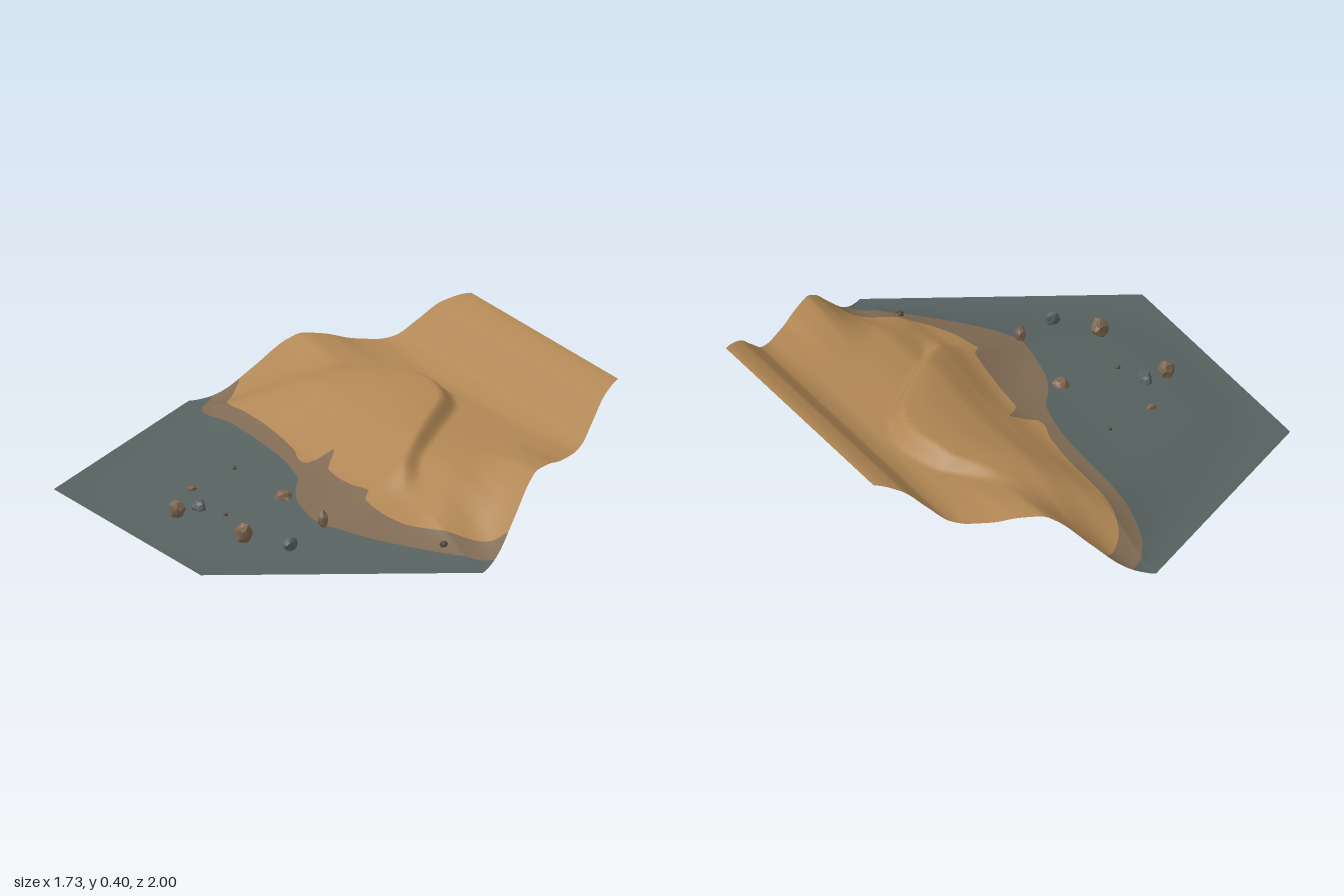
import * as THREE from 'three';

const mat = (name, color) => {
  const m = new THREE.MeshStandardMaterial({ color, side: THREE.DoubleSide });
  m.name = name;
  return m;
};

// Smooth curve through [position, value] pairs
function curve(pts) {
  const n = pts.length;
  const slope = (i) => {
    if (i === 0 || i === n - 1) return 0;
    const l = (pts[i][1] - pts[i - 1][1]) / (pts[i][0] - pts[i - 1][0]);
    const r = (pts[i + 1][1] - pts[i][1]) / (pts[i + 1][0] - pts[i][0]);
    return l * r <= 0 ? 0 : (2 * l * r) / (l + r);
  };
  const m = pts.map((_, i) => slope(i));
  return (v) => {
    if (v <= pts[0][0]) return pts[0][1];
    if (v >= pts[n - 1][0]) return pts[n - 1][1];
    let i = 0;
    while (v > pts[i + 1][0]) i++;
    const w = pts[i + 1][0] - pts[i][0];
    const t = (v - pts[i][0]) / w;
    const t2 = t * t, t3 = t2 * t;
    return (2 * t3 - 3 * t2 + 1) * pts[i][1] + (t3 - 2 * t2 + t) * w * m[i]
      + (3 * t2 - 2 * t3) * pts[i + 1][1] + (t3 - t2) * w * m[i + 1];
  };
}

// Height across the tile: along its slanted borders and through its middle
const borderHeight = curve([[0, 0], [0.05, 0.01], [0.1, 0.035], [0.2, 0.13], [0.3, 0.23],
  [0.35, 0.255], [0.42, 0.25], [0.5, 0.232], [0.58, 0.228], [0.63, 0.24], [0.7, 0.3], [0.78, 0.372], [0.866, 0.4]]);
const middleHeight = curve([[-0.866, 0], [-0.6, 0.028], [-0.4, 0.043], [-0.2, 0.062], [-0.05, 0.09],
  [0.08, 0.155], [0.2, 0.203], [0.35, 0.217], [0.55, 0.218], [0.63, 0.24], [0.7, 0.3], [0.78, 0.372], [0.866, 0.4]]);

// Dune crest position and strength along z
const crestX = curve([[-0.55, 0.28], [-0.4, 0.36], [-0.3, 0.43], [-0.12, 0.465], [0, 0.43], [0.2, 0.24], [0.38, 0.05], [0.5, 0]]);
const crestRise = curve([[-0.6, 0], [-0.4, 0.035], [-0.2, 0.062], [0.2, 0.05], [0.36, 0.055], [0.46, 0.022], [0.62, 0]]);

// Colour boundaries: x position along z
const slateEdge = curve([[-1, 0.09], [-0.96, 0.07], [-0.9, 0], [-0.8, -0.06], [-0.65, -0.09], [-0.4, -0.1],
  [-0.2, -0.115], [0, -0.16], [0.1, -0.23], [0.2, -0.275], [0.4, -0.31], [0.5, -0.275], [0.6, -0.22],
  [0.7, -0.15], [0.8, -0.07], [0.9, 0.02], [0.96, 0.08], [1, 0.1]]);
const sandEdge = curve([[-0.95, 0.25], [-0.91, 0.16], [-0.85, 0.08], [-0.78, 0.02], [-0.65, -0.02], [-0.4, -0.03],
  [-0.2, -0.055], [-0.1, -0.085], [-0.065, -0.075], [-0.055, 0], [-0.065 + 0.005 + 0.01, 0.02], [0, -0.025], [0.04, -0.055],
  [0.2, -0.07], [0.35, -0.08], [0.4, -0.12], [0.5, -0.115], [0.6, -0.09], [0.7, -0.03], [0.8, 0.05], [0.9, 0.16], [0.95, 0.3]]);

function height(x, z) {
  const d = (1 - Math.abs(z)) * 0.866 - Math.abs(x) * 0.5;
  const f = THREE.MathUtils.smoothstep(d, 0, 0.36);
  const base = THREE.MathUtils.lerp(borderHeight(x), middleHeight(x), f);
  const c = crestX(z);
  const windward = THREE.MathUtils.smoothstep(x, c - 0.42, c + 0.02);
  const lee = 1 - THREE.MathUtils.smoothstep(x, c - 0.005, c + 0.075);
  return base + crestRise(z) * windward * lee * f;
}

// Hexagonal ground sheet in three colour strips with shared smooth normals
function groundGeometry() {
  const rows = 200, cols = [26, 10, 64], strips = [[], [], []];
  const pos = [], nor = [];
  const total = cols[0] + cols[1] + cols[2] + 1;
  const e = 0.004;
  for (let j = 0; j <= rows; j++) {
    const z = -1 + (2 * j) / rows;
    const w = Math.min(0.866, 1.732 * (1 - Math.abs(z)));
    const a = THREE.MathUtils.clamp(slateEdge(z), -w, w);
    const b = THREE.MathUtils.clamp(sandEdge(z), a, w);
    const stops = [-w, a, b, w];
    const put = (x) => {
      pos.push(x, height(x, z), z);
      const n = new THREE.Vector3(height(x - e, z) - height(x + e, z), 2 * e,
        height(x, z - e) - height(x, z + e)).normalize();
      nor.push(n.x, n.y, n.z);
    };
    put(-w);
    cols.forEach((count, s) => {
      for (let i = 1; i <= count; i++) put(THREE.MathUtils.lerp(stops[s], stops[s + 1], i / count));
    });
  }
  for (let j = 0; j < rows; j++) {
    for (let i = 0; i < total - 1; i++) {
      const s = i < cols[0] ? 0 : i < cols[0] + cols[1] ? 1 : 2;
      const a = j * total + i, b = a + total;
      strips[s].push(a, b, b + 1, a, b + 1, a + 1);
    }
  }
  const g = new THREE.BufferGeometry();
  g.setAttribute('position', new THREE.Float32BufferAttribute(pos, 3));
  g.setAttribute('normal', new THREE.Float32BufferAttribute(nor, 3));
  g.setIndex(strips.flat());
  let start = 0;
  strips.forEach((s, i) => {
    g.addGroup(start, s.length, i);
    start += s.length;
  });
  return g;
}

// Faceted boulder: a sphere pushed in and out by a seeded rule
function rockGeometry(rx, ry, rz, seed) {
  const g = new THREE.IcosahedronGeometry(1, 1);
  const p = g.attributes.position;
  const v = new THREE.Vector3();
  for (let i = 0; i < p.count; i++) {
    v.fromBufferAttribute(p, i);
    const k = 0.95 + 0.14 * Math.sin(v.x * 5.1 + seed * 2.3) * Math.cos(v.y * 4.3 + seed) + 0.09 * Math.sin(v.z * 6.7 + seed * 4.1);
    p.setXYZ(i, v.x * k * rx, v.y * k * ry, v.z * k * rz);
  }
  g.computeVertexNormals();
  return g;
}

export function createModel() {
  const group = new THREE.Group();
  const slate = mat('slate ground', 0x566160);
  const silt = mat('silt band', 0x806b54);
  const sand = mat('sand', 0xb08654);
  const brownStone = mat('brown stone', 0x7d6650);
  const greyStone = mat('grey stone', 0x5a6463);
  const darkStone = mat('dark stone', 0x55483c);

  const ground = new THREE.Mesh(groundGeometry(), [slate, silt, sand]);
  ground.name = 'duneGround';
  group.add(ground);

  // Scattered rocks: x, z, half sizes, top height, material
  const rocks = [
    [-0.66, 0, 0.029, 0.036, 0.029, 0.082, brownStone],
    [-0.57, 0, 0.026, 0.03, 0.03, 0.07, greyStone],
    [-0.593, 0.34, 0.034, 0.042, 0.031, 0.094, brownStone],
    [-0.487, 0.49, 0.028, 0.03, 0.02, 0.07, greyStone],
    [-0.313, 0.425, 0.021, 0.036, 0.018, 0.11, brownStone],
    [-0.285, 0.11, 0.033, 0.03, 0.037, 0.08, brownStone],
    [-0.5, -0.16, 0.02, 0.013, 0.012, 0.052, brownStone],
    [-0.288, -0.22, 0.008, 0.009, 0.008, 0.066, darkStone],
    [-0.528, 0.115, 0.008, 0.009, 0.008, 0.045, darkStone],
    [-0.067, -0.66, 0.016, 0.016, 0.018, 0.06, darkStone],
    [-0.035, 0.79, 0.017, 0.013, 0.014, 0.06, darkStone],
  ];
  rocks.forEach(([x, z, rx, ry, rz, top, m], i) => {
    const rock = new THREE.Mesh(rockGeometry(rx, ry, rz, i + 1), m);
    rock.name = 'rock' + (i + 1);
    rock.position.set(x, top - ry, z);
    group.add(rock);
  });
  return group;
}
